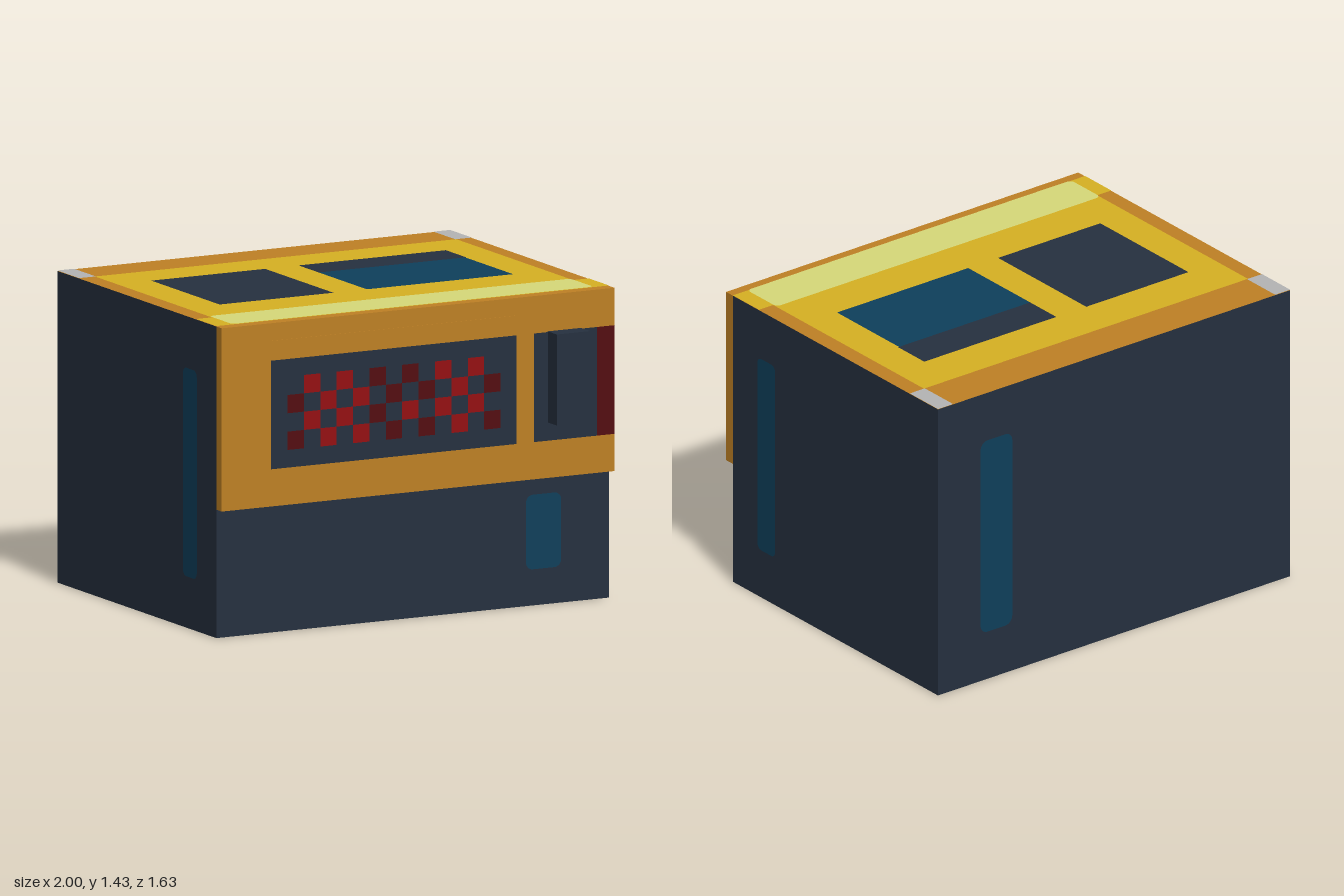
import * as THREE from 'three';

const mat = (name, color) => {
  const m = new THREE.MeshStandardMaterial({ color });
  m.name = name;
  return m;
};

export function createModel() {
  const dark = mat('dark navy', 0x25303f);
  const orange = mat('orange', 0xbe8024);
  const yellow = mat('yellow', 0xd6b022);
  const pale = mat('pale yellow', 0xd6d878);
  const blue = mat('deep blue', 0x0e3f5b);
  const red = mat('red', 0x940e11);
  const maroon = mat('dark red', 0x540c0f);
  const grey = mat('light grey', 0xb4b4b4);

  const model = new THREE.Group();
  model.name = 'microwaveOven';
  const H = 1.42, BACK = -0.81, FRONT = 0.68, PANEL = 0.73;

  // Box given by its two extreme corners
  const box = (name, material, [x0, y0, z0], [x1, y1, z1]) => {
    const mesh = new THREE.Mesh(new THREE.BoxGeometry(x1 - x0, y1 - y0, z1 - z0), material);
    mesh.position.set((x0 + x1) / 2, (y0 + y1) / 2, (z0 + z1) / 2);
    mesh.name = name;
    model.add(mesh);
  };

  // Painted sides: each group's local z points out of its surface
  const side = (name, px, py, pz, rx = 0, ry = 0) => {
    const g = new THREE.Group();
    g.name = name;
    g.position.set(px, py, pz);
    g.rotation.set(rx, ry, 0);
    model.add(g);
    return g;
  };
  const Q = Math.PI / 2;
  const frontLower = side('frontLowerDetails', 0, 0, FRONT);
  const frontPanel = side('frontPanelDetails', 0, 0, PANEL);
  const back = side('backDetails', 0, 0, BACK, 0, Math.PI);
  const left = side('leftDetails', 1, 0, 0, 0, Q);
  const right = side('rightDetails', -1, 0, 0, 0, -Q);
  const top = side('topDetails', 0, H, 0, -Q);
  const bottom = side('bottomDetails', 0, 0, 0, Q);

  // Flat painted rectangle with optional rounded corners
  const paint = (parent, name, material, u0, u1, v0, v1, r = 0, layer = 1) => {
    const s = new THREE.Shape();
    if (r) {
      s.absarc(u1 - r, v1 - r, r, 0, Q);
      s.absarc(u0 + r, v1 - r, r, Q, 2 * Q);
      s.absarc(u0 + r, v0 + r, r, 2 * Q, 3 * Q);
      s.absarc(u1 - r, v0 + r, r, 3 * Q, 4 * Q);
    } else {
      s.moveTo(u0, v0).lineTo(u1, v0).lineTo(u1, v1).lineTo(u0, v1);
    }
    const mesh = new THREE.Mesh(new THREE.ShapeGeometry(s, 4), material);
    mesh.position.z = 0.002 * layer;
    mesh.name = name;
    parent.add(mesh);
  };

  // Casing with an orange top, and the overhanging front panel
  box('casing', [dark, dark, orange, dark, dark, dark], [-1, 0, BACK], [1, H, FRONT]);
  box('frontPanel', orange, [-1, 0.585, FRONT], [1, H, PANEL]);

  // Door with its orange header and dark window
  box('doorHeader', orange, [-0.75, 1.25, PANEL], [0.5, 1.34, PANEL + 0.003]);
  box('doorWindow', dark, [-0.75, 0.755, PANEL], [0.5, 1.25, PANEL + 0.003]);

  // Chequered window pattern: R red, D dark red
  const cell = 0.0835;
  ['.R.R.D.D.R.R.', 'D.R.R.D.D.R.D', '.R.R.D.R.R.R.', 'D.R.R.D.D.R.D'].forEach((row, j) => {
    [...row].forEach((c, i) => {
      if (c === '.') return;
      const u = -0.668 + i * cell, v = 1.17 - j * cell;
      paint(frontPanel, 'windowCheck', c === 'R' ? red : maroon, u, u + cell, v - cell, v, 0, 2.5);
    });
  });

  // Control area and handle
  paint(frontPanel, 'controlPlate', dark, 0.59, 0.91, 0.755, 1.25);
  paint(frontPanel, 'controlStripe', maroon, 0.91, 1, 0.755, 1.25);
  box('handle', dark, [0.66, 0.838, PANEL], [0.83, 1.253, 0.815]);

  // Blue rounded patches on the casing
  paint(frontLower, 'frontPatch', blue, 0.575, 0.755, 0.165, 0.505, 0.035);
  paint(back, 'backPatch', blue, -0.76, -0.58, 0.235, 1.185, 0.04);
  paint(left, 'leftPatch', blue, -0.5, -0.37, 0.235, 1.185, 0.03);
  paint(right, 'rightPatch', blue, 0.37, 0.5, 0.235, 1.185, 0.03);
  paint(bottom, 'bottomPatch', blue, 0.575, 0.755, -0.57, 0.44, 0.04);

  // Top surface (local v is -z)
  paint(top, 'topField', yellow, -0.92, 0.92, -0.49, 0.605);
  paint(top, 'topFrontBand', yellow, -1, 1, -FRONT, -0.49);
  paint(top, 'topPaleStripe', pale, -0.92, 0.92, -FRONT, -0.465, 0.025, 2);
  paint(top, 'topDarkSquare', dark, -0.75, -0.17, -0.25, 0.39, 0, 2);
  paint(top, 'topDarkStrip', dark, 0, 0.75, 0.2, 0.39, 0, 2);
  paint(top, 'topBluePane', blue, 0, 0.745, -0.25, 0.2, 0, 2);
  for (const s of [-1, 1]) {
    paint(top, 'topCorner', grey, Math.min(s, s * 0.915), Math.max(s, s * 0.915), 0.605, 0.81);
  }
  return model;
}
